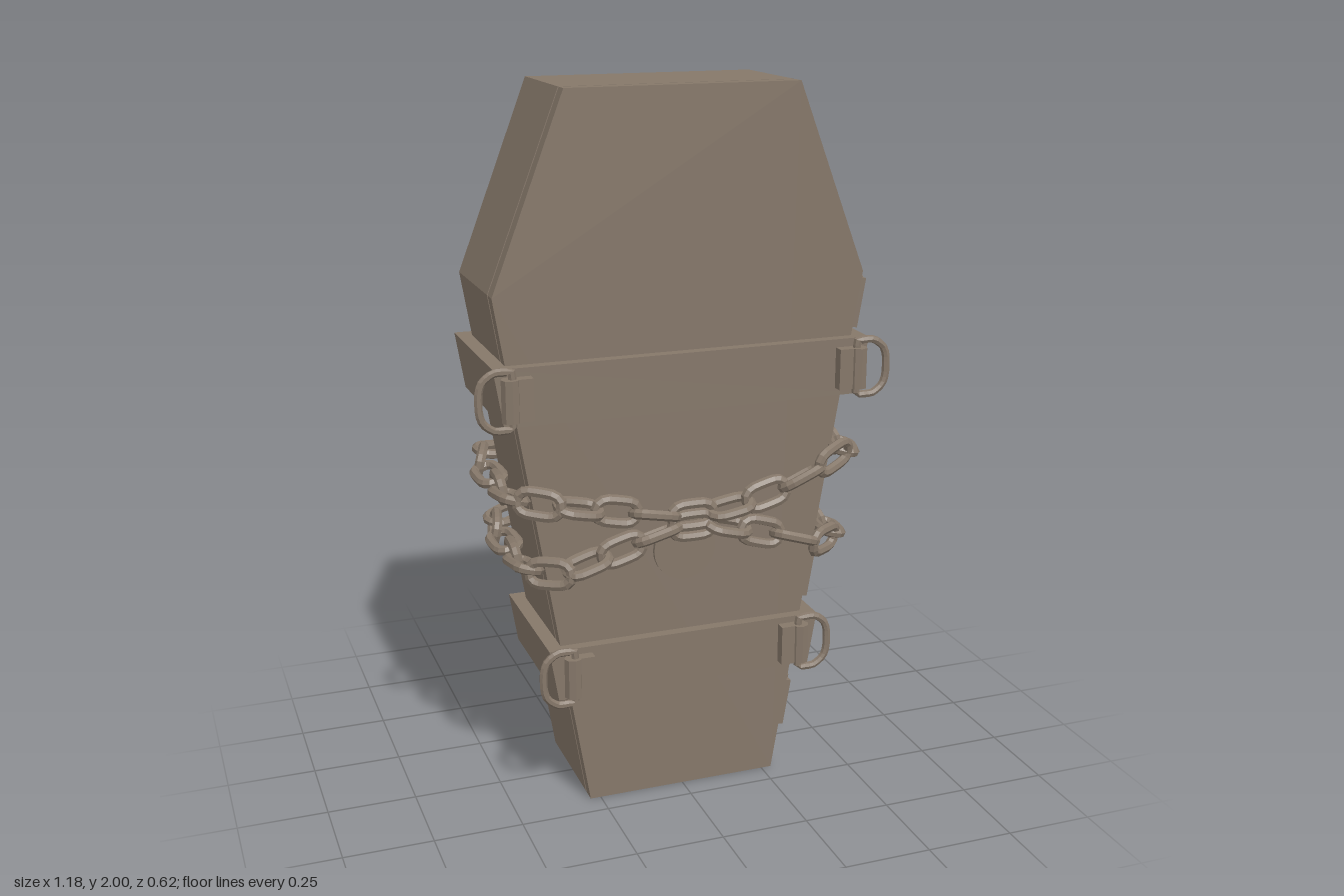
import * as THREE from 'three';

const material = new THREE.MeshStandardMaterial({ color: 0x857769, flatShading: true });

// Half-width of the casket below its shoulders, and the lean of its sides
const SLOPE = (0.525 - 0.28) / 1.48;
const halfWidth = (y) => 0.28 + SLOPE * y;

function mesh(name, geometry, parent, x = 0, y = 0, z = 0) {
  const m = new THREE.Mesh(geometry, material);
  m.name = name;
  m.position.set(x, y, z);
  parent.add(m);
  return m;
}

// Prism with a symmetric outline, given as [half-width, y] from bottom to top
function prism(outline, z0, z1) {
  const right = outline.map(([x, y]) => new THREE.Vector2(x, y));
  const left = outline.map(([x, y]) => new THREE.Vector2(-x, y)).reverse();
  const g = new THREE.ExtrudeGeometry(new THREE.Shape([...right, ...left]), { depth: z1 - z0, bevelEnabled: false });
  return g.translate(0, 0, z0);
}

// Closed ring of round bar through points in the xy plane
function ringGeometry(points, radius, segments) {
  const curve = new THREE.CatmullRomCurve3(points.map(([x, y]) => new THREE.Vector3(x, y, 0)), true, 'catmullrom', 0.35);
  return new THREE.TubeGeometry(curve, segments, radius, 7, true);
}

// Belt around the casket with a strap and D-ring at each front corner
function addBelt(parent, y0, y1, inner) {
  const belt = new THREE.Group();
  belt.name = 'belt';
  parent.add(belt);
  mesh('beltBand', prism([[halfWidth(y0) + 0.04, y0], [halfWidth(y1) + 0.04, y1]], -0.225, 0.21), belt);

  const dRing = ringGeometry([
    [0, -0.07], [0.012, -0.077], [0.05, -0.077], [0.08, -0.055], [0.09, -0.025],
    [0.09, 0.025], [0.08, 0.055], [0.05, 0.077], [0.012, 0.077], [0, 0.07],
  ], 0.011, 30);
  for (const side of [1, -1]) {
    const holder = new THREE.Group();
    holder.name = side > 0 ? 'leftRingHolder' : 'rightRingHolder';
    holder.position.set(side * (inner + 0.05), (y0 + y1) / 2, 0.23);
    if (side < 0) holder.rotation.y = Math.PI;
    belt.add(holder);
    mesh('strap', new THREE.BoxGeometry(0.06, 0.115, 0.03), holder, -0.025, 0, -0.003 * side);
    mesh('strapLoop', new THREE.CylinderGeometry(0.025, 0.025, 0.115, 8), holder, 0.005, 0, 0);
    mesh('dRing', dRing, holder);
  }
}

// Hinge lying on the sloping side across the lid seam
function addHinge(parent, y) {
  const hinge = new THREE.Group();
  hinge.name = 'hinge';
  hinge.position.set(halfWidth(y), y, 0.122);
  hinge.rotation.z = -Math.atan(SLOPE);
  parent.add(hinge);
  for (const s of [1, -1]) mesh('hingeLeaf', new THREE.BoxGeometry(0.024, 0.14, 0.034), hinge, 0.008, 0, s * 0.03);
  for (const k of [-1, 0, 1]) {
    mesh('hingeKnuckle', new THREE.CylinderGeometry(0.014, 0.014, 0.044, 8), hinge, 0.019, k * 0.048, 0);
  }
}

// Chain of alternating links along a closed path
function addChain(parent, name, points, count, link) {
  const chain = new THREE.Group();
  chain.name = name;
  parent.add(chain);
  const path = new THREE.CatmullRomCurve3(points.map((p) => new THREE.Vector3(...p)), true);
  path.arcLengthDivisions = 600;
  const up = new THREE.Vector3(0, 1, 0);
  for (let i = 0; i < count; i++) {
    const t = path.getTangentAt(i / count);
    const n = new THREE.Vector3().crossVectors(t, up).normalize();
    const b = new THREE.Vector3().crossVectors(n, t);
    const m = mesh('link', link, chain);
    m.position.copy(path.getPointAt(i / count));
    m.quaternion.setFromRotationMatrix(new THREE.Matrix4().makeBasis(t, b, n));
    // Quarter turn on every second link, with a slight sway
    m.rotateX((i % 2) * Math.PI / 2 + 0.3 * Math.sin(i * 1.7));
  }
}

export function createModel() {
  const model = new THREE.Group();
  model.name = 'chainedCasket';

  // Casket box and lid, parted by a thin seam
  const outline = [[0.28, 0], [0.525, 1.48], [0.325, 2]];
  mesh('casketBox', prism(outline, -0.18, 0.133), model);
  mesh('casketLid', prism(outline, 0.14, 0.18), model);

  // Round plate on the lid
  const plate = mesh('lockPlate', new THREE.CylinderGeometry(0.09, 0.09, 0.015, 24), model, 0, 0.735, 0.184);
  plate.rotation.x = Math.PI / 2;

  addBelt(model, 1.14, 1.3, 0.44);
  addBelt(model, 0.34, 0.49, 0.285);
  for (const y of [1.39, 0.6, 0.2]) addHinge(model, y);

  // Two chains that meet at the middle of the front and back
  const link = ringGeometry([
    [-0.058, -0.015], [-0.036, -0.031], [0.036, -0.031], [0.058, -0.015],
    [0.058, 0.015], [0.036, 0.031], [-0.036, 0.031], [-0.058, 0.015],
  ], 0.0145, 20);
  // Loop round the casket from [x, y, z] at its middle, quarter, corner and side
  const loop = (mid, quarter, left, right, x) => [
    [0, mid, 0.25], [0.24, quarter, 0.25], [x - 0.06, right, 0.25], [x, right, 0.17],
    [x, right - 0.01, 0], [x, right, -0.17], [x - 0.06, right, -0.255], [0.24, quarter, -0.255],
    [0, mid, -0.255], [-0.24, quarter, -0.255], [0.06 - x, left, -0.255], [-x, left, -0.17],
    [-x, left - 0.01, 0], [-x, left, 0.17], [0.06 - x, left, 0.25], [-0.24, quarter, 0.25],
  ];
  addChain(model, 'upperChain', loop(0.855, 0.895, 0.935, 0.975, 0.485), 26, link);
  addChain(model, 'lowerChain', loop(0.825, 0.77, 0.735, 0.73, 0.45), 26, link);

  return model;
}
